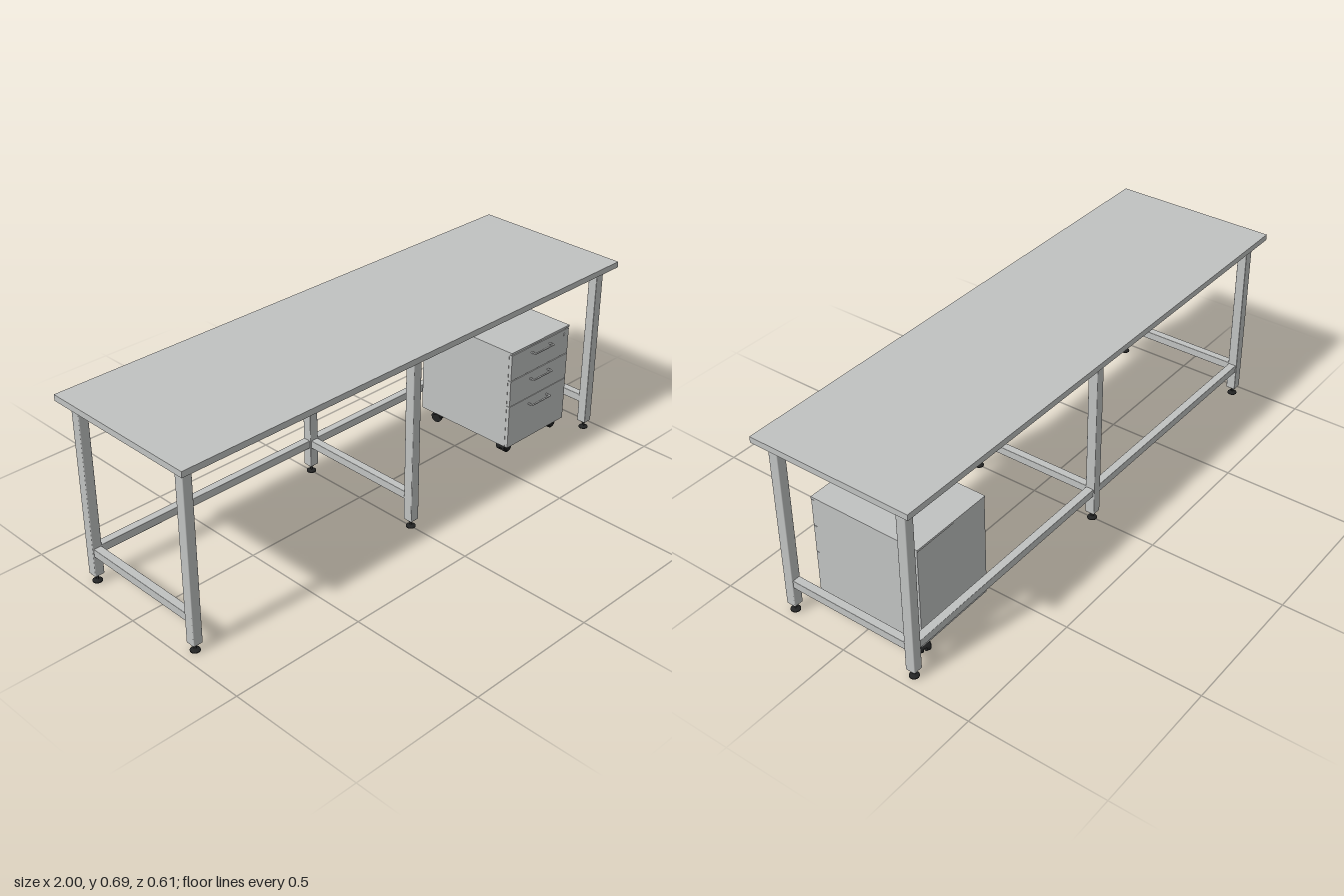
import * as THREE from 'three';
import { RoundedBoxGeometry } from 'three/addons/geometries/RoundedBoxGeometry.js';

const grey = new THREE.MeshStandardMaterial({ color: 0xc0c2c1 });
grey.name = 'light grey';
const dark = new THREE.MeshStandardMaterial({ color: 0x222323 });
dark.name = 'black plastic';

function add(parent, name, geometry, material, x = 0, y = 0, z = 0) {
  const mesh = new THREE.Mesh(geometry, material);
  mesh.name = name;
  mesh.position.set(x, y, z);
  parent.add(mesh);
  return mesh;
}

// Box given by its limits on each axis
function box(parent, name, [x0, x1], [y0, y1], [z0, z1], radius = 0) {
  const size = [x1 - x0, y1 - y0, z1 - z0];
  const geometry = radius
    ? new RoundedBoxGeometry(...size, 2, radius)
    : new THREE.BoxGeometry(...size);
  return add(parent, name, geometry, grey, (x0 + x1) / 2, (y0 + y1) / 2, (z0 + z1) / 2);
}

const LEG_X = [-0.952, 0, 0.952];
const LEG_Z = 0.25;
const HALF = 0.018;

// Levelling foot: disc, threaded stem and nut
function levellingFoot(x, z) {
  const foot = new THREE.Group();
  foot.name = 'levellingFoot';
  const profile = [[0, 0], [0.017, 0], [0.017, 0.004], [0.006, 0.007], [0.004, 0.009], [0.004, 0.02], [0, 0.02]]
    .map(([r, y]) => new THREE.Vector2(r, y));
  add(foot, 'footPad', new THREE.LatheGeometry(profile, 20).toNonIndexed(), dark);
  add(foot, 'footStem', new THREE.CylinderGeometry(0.004, 0.004, 0.014, 12), dark, 0, 0.024, 0);
  add(foot, 'footNut', new THREE.CylinderGeometry(0.008, 0.008, 0.006, 6), dark, 0, 0.023, 0);
  foot.position.set(x, 0, z);
  return foot;
}

// Twin-wheel caster trailing along its own +x
function caster(x, z, angle) {
  const group = new THREE.Group();
  group.name = 'caster';
  add(group, 'casterStem', new THREE.CylinderGeometry(0.008, 0.008, 0.02, 14), dark, 0, 0.04, 0);
  for (const side of [-1, 1]) {
    add(group, 'wheel', new THREE.CylinderGeometry(0.02, 0.02, 0.014, 24), dark, 0.014, 0.02, side * 0.0125)
      .rotation.x = Math.PI / 2;
    add(group, 'wheelCap', new THREE.CylinderGeometry(0.015, 0.015, 0.004, 20), dark, 0.014, 0.02, side * 0.0215)
      .rotation.x = Math.PI / 2;
  }
  // Hood over the wheels
  const hood = new THREE.Shape();
  hood.absarc(0, 0, 0.0225, 0.3, Math.PI, false);
  hood.lineTo(-0.012, 0);
  hood.lineTo(0, 0.006);
  const geometry = new THREE.ExtrudeGeometry(hood, { depth: 0.038, bevelEnabled: false, curveSegments: 16 });
  add(group, 'hood', geometry, dark, 0.014, 0.02, -0.019);
  group.position.set(x, 0, z);
  group.rotation.y = angle;
  return group;
}

// U-shaped drawer pull
function handle(y) {
  const group = new THREE.Group();
  group.name = 'drawerHandle';
  box(group, 'grip', [0.668, 0.775], [y - 0.0025, y + 0.0025], [0.215, 0.222], 0.002);
  for (const x of [0.671, 0.772])
    box(group, 'handlePost', [x - 0.003, x + 0.003], [y - 0.0025, y + 0.0025], [0.199, 0.218]);
  return group;
}

function createTable() {
  const table = new THREE.Group();
  table.name = 'table';
  box(table, 'tableTop', [-1, 1], [0.67, 0.692], [-0.307, 0.307]);

  // Three frames of two legs and two cross rails
  const inner = LEG_Z - HALF;
  for (const x of LEG_X) {
    for (const z of [-LEG_Z, LEG_Z]) {
      box(table, 'leg', [x - HALF, x + HALF], [0.03, 0.67], [z - HALF, z + HALF], 0.003);
      table.add(levellingFoot(x, z));
    }
    box(table, 'upperCrossRail', [x - 0.015, x + 0.015], [0.648, 0.67], [-inner, inner], 0.002);
    box(table, 'lowerCrossRail', [x - 0.015, x + 0.015], [0.11, 0.14], [-inner, inner], 0.002);
  }

  // Long rails in each bay
  for (let i = 0; i < 2; i++) {
    const span = [LEG_X[i] + HALF, LEG_X[i + 1] - HALF];
    for (const z of [-LEG_Z, LEG_Z])
      box(table, 'upperLongRail', span, [0.648, 0.67], [z - 0.015, z + 0.015], 0.002);
    box(table, 'lowerBackRail', span, [0.11, 0.14], [-LEG_Z - 0.015, -LEG_Z + 0.015], 0.002);
  }
  return table;
}

function createPedestal() {
  const pedestal = new THREE.Group();
  pedestal.name = 'drawerPedestal';
  box(pedestal, 'cabinetBody', [0.561, 0.882], [0.05, 0.434], [-0.226, 0.187]);
  box(pedestal, 'cabinetTop', [0.56, 0.883], [0.434, 0.442], [-0.228, 0.2]);

  // Drawer fronts with narrow gaps, each with a handle
  const drawers = [[0.05, 0.221, 0.195], [0.223, 0.326, 0.3], [0.329, 0.431, 0.407]];
  for (const [bottom, top, handleY] of drawers) {
    box(pedestal, 'drawerFront', [0.562, 0.881], [bottom, top], [0.187, 0.2]);
    pedestal.add(handle(handleY));
  }
  // Lock
  add(pedestal, 'lock', new THREE.CylinderGeometry(0.006, 0.006, 0.004, 16), grey, 0.857, 0.412, 0.201)
    .rotation.x = Math.PI / 2;

  // Casters: stem x, stem z, swivel angle
  const casters = [[0.594, 0.146, 0], [0.848, 0.146, 0], [0.594, -0.188, -1.2], [0.848, -0.188, 1.2]];
  for (const c of casters) pedestal.add(caster(...c));
  return pedestal;
}

export function createModel() {
  const model = new THREE.Group();
  model.name = 'workbench';
  model.add(createTable(), createPedestal());
  return model;
}
